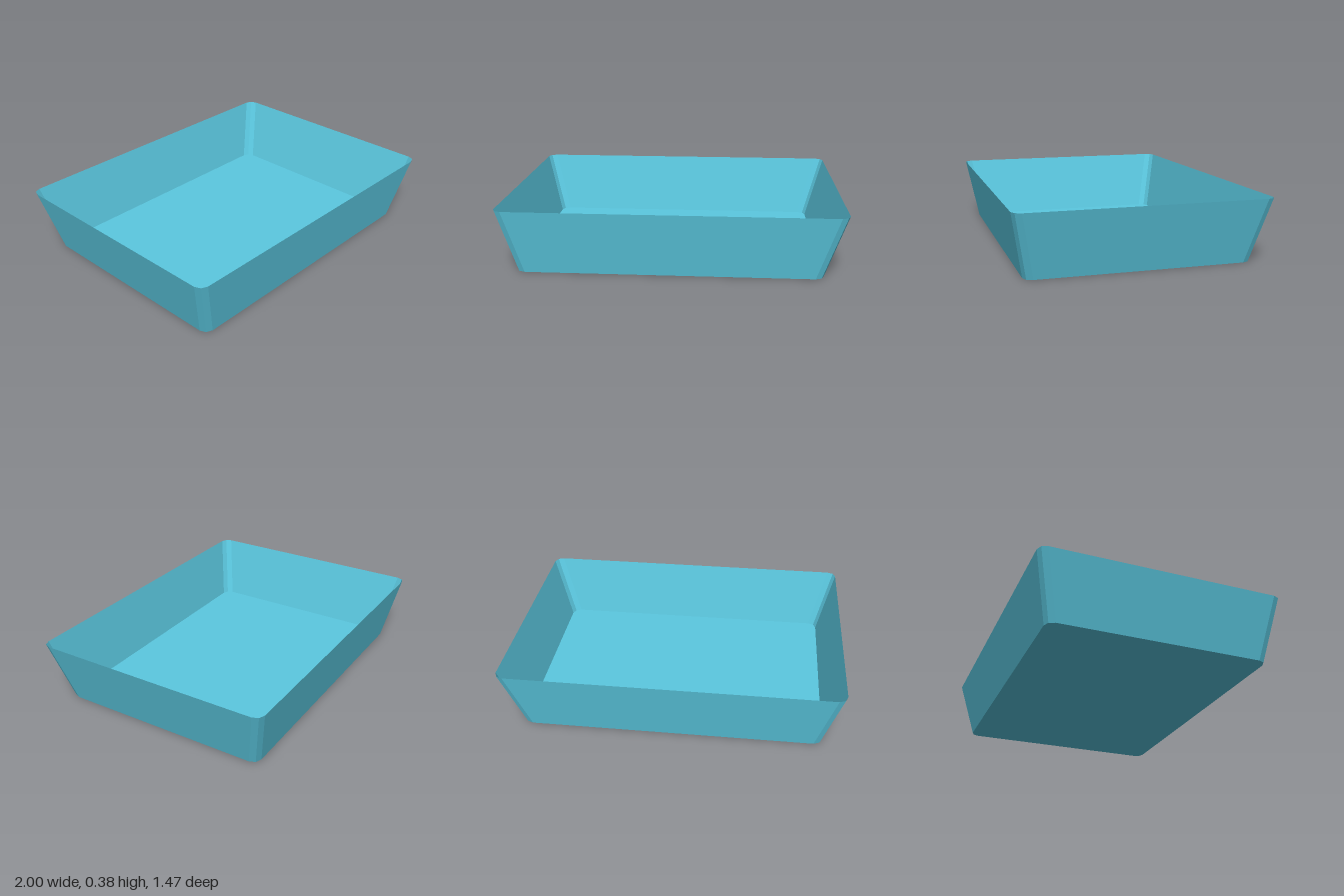
import * as THREE from 'three';

// Rectangle outline in x/z with faceted round corners
function outline(cx, cz, halfX, halfZ, r, steps = 2) {
  const points = [];
  const signs = [[1, 1], [-1, 1], [-1, -1], [1, -1]];
  signs.forEach(([sx, sz], corner) => {
    for (let i = 0; i <= steps; i++) {
      const a = (corner + i / steps) * Math.PI / 2;
      points.push(new THREE.Vector2(
        cx + sx * (halfX - r) + r * Math.cos(a),
        cz + sz * (halfZ - r) + r * Math.sin(a)));
    }
  });
  return points;
}

// Surface between two outlines at different heights, facing outward
function loftGeometry(lower, y0, upper, y1) {
  const pos = [];
  const n = lower.length;
  for (let i = 0; i < n; i++) {
    const j = (i + 1) % n;
    const a = [lower[i].x, y0, lower[i].y], b = [lower[j].x, y0, lower[j].y];
    const c = [upper[j].x, y1, upper[j].y], d = [upper[i].x, y1, upper[i].y];
    pos.push(...a, ...d, ...b, ...b, ...d, ...c);
  }
  const geometry = new THREE.BufferGeometry();
  geometry.setAttribute('position', new THREE.Float32BufferAttribute(pos, 3));
  geometry.computeVertexNormals();
  return geometry;
}

export function createModel() {
  const group = new THREE.Group();
  group.name = 'tray';
  const material = new THREE.MeshStandardMaterial({
    color: 0x5bc8e0, side: THREE.DoubleSide, flatShading: true });

  const base = outline(-0.008, 0.004, 0.89, 0.656, 0.05);
  const rim = outline(0, 0, 1, 0.735, 0.05);

  // Sloping thin walls
  const walls = new THREE.Mesh(loftGeometry(base, 0, rim, 0.385), material);
  walls.name = 'walls';
  group.add(walls);

  // Flat floor
  const shape = new THREE.Shape(base.map(p => new THREE.Vector2(p.x, -p.y)));
  const floor = new THREE.Mesh(new THREE.ShapeGeometry(shape).rotateX(-Math.PI / 2), material);
  floor.name = 'floor';
  group.add(floor);

  return group;
}
